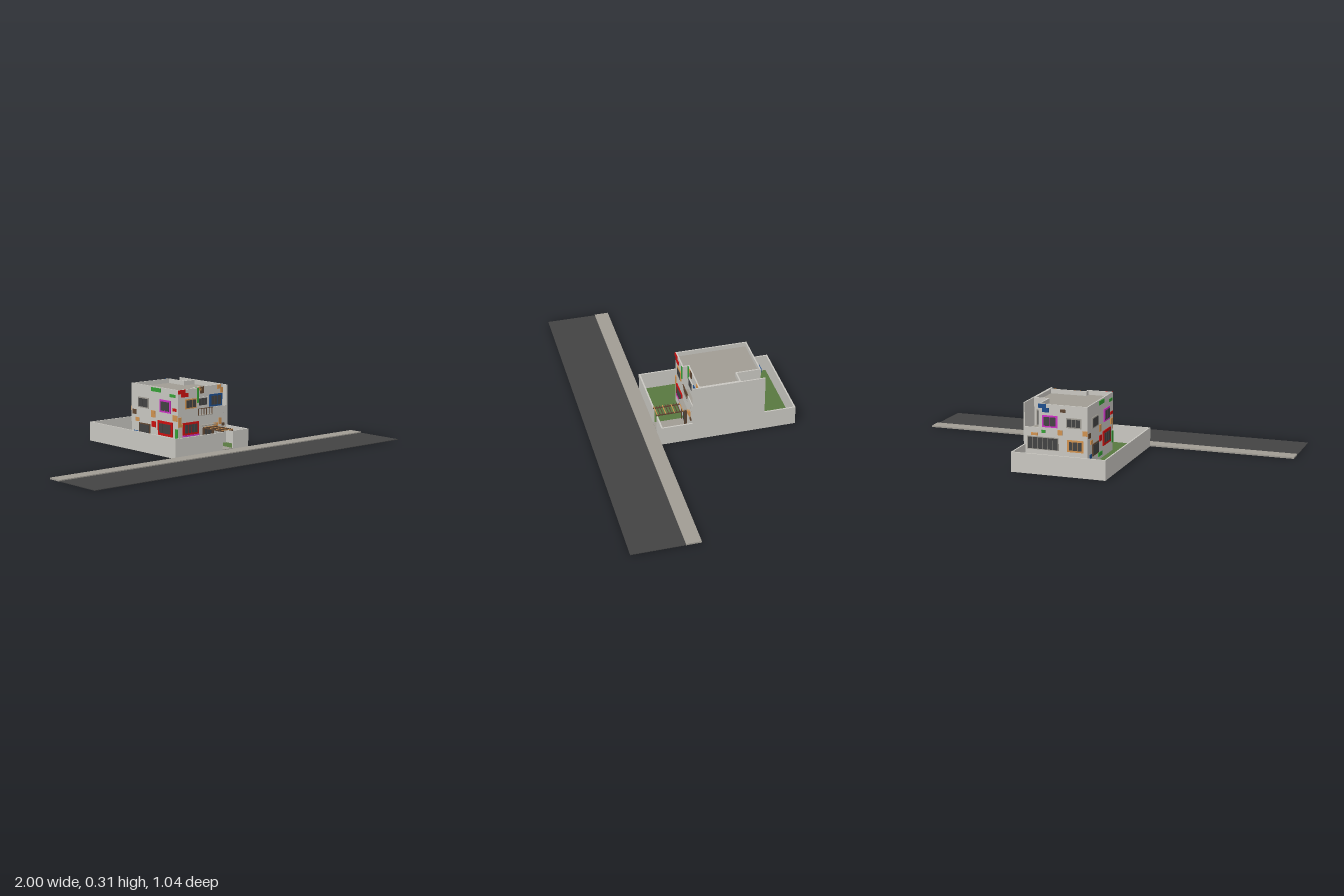
import * as THREE from 'three';

const mat = (name, color) => Object.assign(new THREE.MeshStandardMaterial({ color }), { name });
const M = {
  wall: mat('wall plaster', 0xc9c7c1),
  concrete: mat('concrete', 0xa09c94),
  dark: mat('asphalt and glass', 0x434343),
  grass: mat('grass', 0x587840),
  red: mat('red paint', 0xcc1010),
  green: mat('green paint', 0x35a035),
  orange: mat('orange paint', 0xd09250),
  blue: mat('blue paint', 0x1f4e8c),
  magenta: mat('magenta paint', 0xcc33c4),
  brown: mat('brown wood', 0x5f4632),
};

// box given by its minimum and maximum on each axis
function block(parent, name, m, x0, x1, y0, y1, z0, z1) {
  const mesh = new THREE.Mesh(new THREE.BoxGeometry(x1 - x0, y1 - y0, z1 - z0), m);
  mesh.position.set((x0 + x1) / 2, (y0 + y1) / 2, (z0 + z1) / 2);
  mesh.name = name;
  parent.add(mesh);
  return mesh;
}

// footprint from [x, z] points, extruded upward
function toPath(points, Type) {
  return new Type(points.map(([x, z]) => new THREE.Vector2(x, -z)));
}
function storey(parent, name, m, points, y0, y1, hole) {
  const shape = toPath(points, THREE.Shape);
  if (hole) shape.holes.push(toPath(hole, THREE.Path));
  const geo = new THREE.ExtrudeGeometry(shape, { depth: y1 - y0, bevelEnabled: false });
  geo.rotateX(-Math.PI / 2);
  const mesh = new THREE.Mesh(geo, m);
  mesh.position.y = y0;
  mesh.name = name;
  parent.add(mesh);
}

// group whose local +z points out of a facade
function facade(parent, name, angle, x, z) {
  const g = new THREE.Group();
  g.name = name;
  g.rotation.y = angle;
  g.position.set(x, 0, z);
  parent.add(g);
  return g;
}

// framed window with a row of panes
function windowUnit(face, u0, u1, y0, y1, frame, panes = 3, t = 0.006) {
  block(face, 'windowFrame', frame, u0, u1, y0, y1, 0, 0.005);
  const w = (u1 - u0 - t * 2) / panes;
  for (let i = 0; i < panes; i++) {
    const a = u0 + t + i * w;
    block(face, 'windowPane', M.dark, a + 0.0015, a + w - 0.0015, y0 + t, y1 - t, 0, 0.007);
  }
}

// painted patches, each [material, u0, u1, y0, y1]
function patches(face, list) {
  for (const [m, u0, u1, y0, y1] of list) block(face, 'paintedPatch', m, u0, u1, y0, y1, 0, 0.004);
}

export function createModel() {
  const root = new THREE.Group();
  root.name = 'houseOnStreet';

  // street and lot
  block(root, 'road', M.dark, -1, 1, 0, 0.003, 0.255, 0.52);
  block(root, 'sidewalk', M.concrete, -1, 1, 0, 0.008, 0.18, 0.255);
  block(root, 'lawn', M.grass, -0.244, 0.239, 0, 0.008, -0.519, 0.179);
  block(root, 'walkway', M.concrete, 0.065, 0.135, 0.008, 0.011, 0.02, 0.18);

  // boundary walls with a gate opening at the front
  const t = 0.008;
  block(root, 'leftBoundaryWall', M.wall, 0.24 - t, 0.24, 0, 0.1, -0.52, 0.18);
  block(root, 'rightBoundaryWall', M.wall, -0.245, -0.245 + t, 0, 0.1, -0.52, 0.18);
  block(root, 'backBoundaryWall', M.wall, -0.245 + t, 0.24 - t, 0, 0.1, -0.52, -0.52 + t);
  block(root, 'frontBoundaryWall', M.wall, -0.245 + t, 0.065, 0, 0.1, 0.18 - t, 0.18);
  block(root, 'frontBoundaryWall', M.wall, 0.135, 0.24 - t, 0, 0.1, 0.18 - t, 0.18);

  // pergola over the walkway
  const pergola = new THREE.Group();
  pergola.name = 'pergola';
  root.add(pergola);
  for (const x of [0.067, 0.129]) {
    block(pergola, 'beam', M.brown, x, x + 0.005, 0.1, 0.106, 0.025, 0.18);
    block(pergola, 'post', M.brown, x, x + 0.005, 0.008, 0.1, 0.03, 0.035);
  }
  for (let i = 0; i < 10; i++) {
    const z = 0.04 + i * 0.0148;
    block(pergola, 'slat', i % 3 ? M.brown : M.orange, 0.063, 0.137, 0.106, 0.11, z, z + 0.004);
  }
  block(root, 'doorCanopy', M.concrete, 0.045, 0.14, 0.114, 0.118, 0.02, 0.042);

  // house body: ground floor, upper floor with two terraces, parapet
  const house = new THREE.Group();
  house.name = 'house';
  root.add(house);
  block(house, 'groundFloor', M.wall, -0.095, 0.24, 0, 0.165, -0.355, 0.02);
  const outer = [[-0.095, 0.02], [0.04, 0.02], [0.04, -0.012], [0.233, -0.012],
    [0.233, -0.23], [0.16, -0.23], [0.16, -0.355], [-0.095, -0.355]];
  const inner = [[-0.088, 0.013], [0.033, 0.013], [0.033, -0.019], [0.226, -0.019],
    [0.226, -0.223], [0.153, -0.223], [0.153, -0.348], [-0.088, -0.348]];
  storey(house, 'upperFloor', M.wall, outer, 0.165, 0.285);
  storey(house, 'parapet', M.wall, outer, 0.285, 0.31, inner);
  storey(house, 'roof', M.concrete, inner, 0.284, 0.287);
  block(house, 'leftPartyWall', M.wall, 0.233, 0.24, 0.165, 0.31, -0.355, 0.02);
  block(house, 'frontTerraceFloor', M.concrete, 0.04, 0.233, 0.165, 0.168, -0.012, 0.02);
  block(house, 'frontTerraceParapet', M.wall, 0.14, 0.233, 0.165, 0.203, 0.015, 0.02);
  block(house, 'backTerraceFloor', M.concrete, 0.16, 0.233, 0.165, 0.168, -0.35, -0.23);
  block(house, 'backTerraceParapet', M.wall, 0.16, 0.233, 0.165, 0.19, -0.355, -0.349);

  // terrace railing
  for (let i = 0; i < 6; i++) {
    const x = 0.044 + i * 0.018;
    block(house, 'baluster', M.brown, x, x + 0.003, 0.168, 0.2, 0.015, 0.018);
  }
  block(house, 'handrail', M.brown, 0.04, 0.14, 0.2, 0.203, 0.0145, 0.0185);

  // front facade
  const front = facade(house, 'frontFacade', 0, 0, 0.02);
  windowUnit(front, -0.05, 0.025, 0.21, 0.26, M.orange);
  windowUnit(front, -0.065, 0.042, 0.075, 0.14, M.red, 4, 0.011);
  block(front, 'windowSill', M.magenta, -0.065, 0.042, 0.068, 0.076, 0, 0.007);
  windowUnit(front, 0.068, 0.132, 0.011, 0.1, M.brown, 2);
  patches(front, [
    [M.red, -0.095, -0.05, 0.29, 0.31], [M.red, -0.075, -0.03, 0.272, 0.292],
    [M.green, 0.03, 0.04, 0.235, 0.31],
    [M.orange, -0.095, -0.075, 0.12, 0.17], [M.orange, -0.075, -0.06, 0.12, 0.135],
    [M.orange, 0.145, 0.172, 0.102, 0.12], [M.orange, 0.178, 0.197, 0.11, 0.143],
    [M.brown, 0.2, 0.215, 0.1, 0.115],
  ]);

  // recessed part of the front facade
  const recess = facade(house, 'terraceFacade', 0, 0, -0.012);
  windowUnit(recess, 0.06, 0.13, 0.208, 0.256, M.wall);
  windowUnit(recess, 0.142, 0.228, 0.2, 0.264, M.blue, 3, 0.009);
  patches(recess, [
    [M.green, 0.04, 0.052, 0.235, 0.31],
    [M.orange, 0.067, 0.085, 0.29, 0.31], [M.brown, 0.08, 0.104, 0.275, 0.31],
    [M.orange, 0.195, 0.22, 0.288, 0.31], [M.orange, 0.215, 0.233, 0.266, 0.295],
  ]);

  // back facade, local u runs toward -x
  const back = facade(house, 'backFacade', Math.PI, 0, -0.355);
  windowUnit(back, -0.14, -0.06, 0.195, 0.255, M.magenta, 2, 0.008);
  windowUnit(back, -0.015, 0.065, 0.2, 0.25, M.concrete);
  windowUnit(back, -0.22, -0.055, 0.08, 0.145, M.concrete, 6, 0.004);
  windowUnit(back, -0.01, 0.075, 0.08, 0.14, M.orange, 3, 0.009);
  patches(back, [
    [M.blue, -0.16, -0.12, 0.29, 0.31], [M.blue, -0.14, -0.105, 0.27, 0.292],
    [M.orange, -0.06, -0.035, 0.16, 0.185], [M.orange, -0.2, -0.165, 0.15, 0.163],
    [M.green, -0.145, -0.125, 0.165, 0.18], [M.orange, 0.07, 0.095, 0.165, 0.19],
    [M.brown, -0.045, -0.02, 0.275, 0.29], [M.blue, 0.07, 0.095, 0.02, 0.05],
  ]);
  const terraceBack = facade(house, 'backTerraceFacade', Math.PI, 0, -0.23);
  windowUnit(terraceBack, -0.22, -0.175, 0.168, 0.25, M.concrete, 2);

  // side facade toward the garden, local u runs toward +z
  const side = facade(house, 'gardenFacade', -Math.PI / 2, -0.095, 0);
  windowUnit(side, -0.295, -0.21, 0.19, 0.245, M.concrete, 2);
  windowUnit(side, -0.12, -0.035, 0.185, 0.25, M.magenta, 2, 0.009);
  windowUnit(side, -0.29, -0.2, 0.05, 0.11, M.brown, 2);
  windowUnit(side, -0.135, -0.02, 0.065, 0.14, M.red, 3, 0.013);
  patches(side, [
    [M.green, -0.19, -0.115, 0.285, 0.305], [M.green, -0.04, 0.0, 0.27, 0.285],
    [M.orange, -0.19, -0.16, 0.15, 0.185], [M.brown, -0.345, -0.315, 0.15, 0.175],
    [M.red, -0.185, -0.155, 0.1, 0.13], [M.orange, -0.02, 0.015, 0.15, 0.18],
    [M.blue, -0.355, -0.32, 0.02, 0.05], [M.blue, -0.33, -0.3, 0.045, 0.065],
    [M.green, -0.2, -0.15, 0.025, 0.045], [M.orange, -0.32, -0.29, 0.115, 0.135],
    [M.red, -0.02, 0.01, 0.2, 0.215], [M.green, 0.0, 0.02, 0.05, 0.11],
  ]);

  return root;
}
